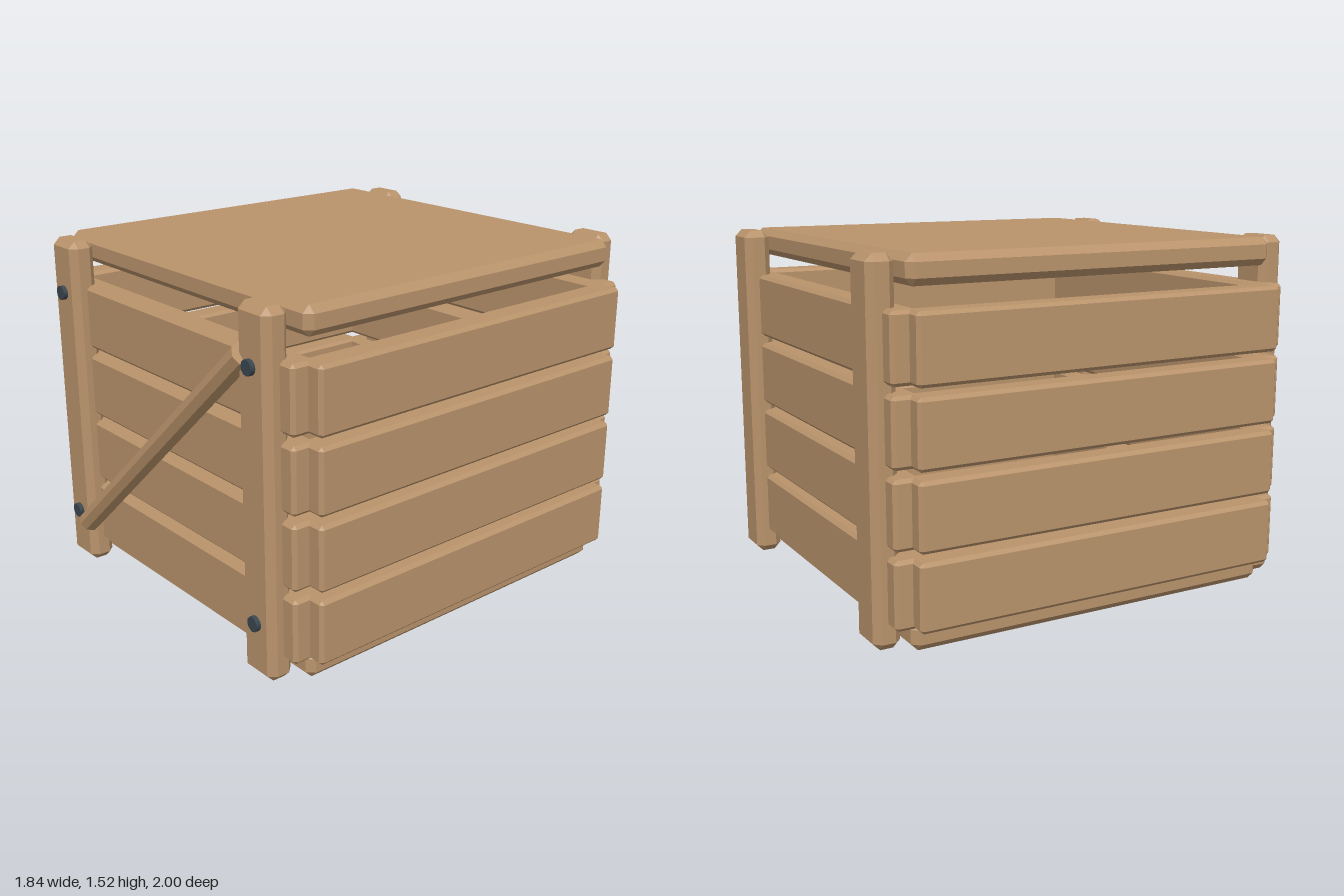
import * as THREE from 'three';
import { ConvexGeometry } from 'three/addons/geometries/ConvexGeometry.js';

const wood = new THREE.MeshStandardMaterial({ color: 0xb9936b });
wood.name = 'wood';
const iron = new THREE.MeshStandardMaterial({ color: 0x3a464e });
iron.name = 'iron';

// Box with every edge cut by a flat chamfer c
function chamferBox(w, h, d, c) {
  const points = [];
  for (const sx of [-1, 1]) for (const sy of [-1, 1]) for (const sz of [-1, 1]) {
    const x = w / 2, y = h / 2, z = d / 2;
    points.push(
      new THREE.Vector3(sx * x, sy * (y - c), sz * (z - c)),
      new THREE.Vector3(sx * (x - c), sy * y, sz * (z - c)),
      new THREE.Vector3(sx * (x - c), sy * (y - c), sz * z));
  }
  return new ConvexGeometry(points);
}

export function createModel() {
  const crate = new THREE.Group();
  crate.name = 'crate';
  const add = (name, geometry, material, x, y, z) => {
    const mesh = new THREE.Mesh(geometry, material);
    mesh.name = name;
    mesh.position.set(x, y, z);
    crate.add(mesh);
    return mesh;
  };
  const midZ = -0.023; // centre of the box body

  // Lid and floor panels
  const panel = chamferBox(1.7, 0.12, 1.7, 0.03);
  add('lid', panel, wood, 0, 1.46, midZ);
  add('floor', panel, wood, 0, 0.06, midZ);

  // Four rows of slats around the walls
  const wallSlat = chamferBox(1.7, 0.28, 0.12, 0.015);
  const sideSlat = chamferBox(0.12, 0.28, 1.7, 0.015);
  for (let row = 0; row < 4; row++) {
    const y = 0.238 + row * 0.314;
    add('frontSlat', wallSlat, wood, 0, y, midZ + 0.863);
    add('backSlat', wallSlat, wood, 0, y, midZ - 0.863);
    add('leftSlat', sideSlat, wood, 0.86, y, midZ);
    add('rightSlat', sideSlat, wood, -0.86, y, midZ);
  }

  // Upright battens and the nails in the front pair
  const post = chamferBox(0.19, 1.52, 0.115, 0.03);
  const nail = new THREE.CylinderGeometry(0.032, 0.032, 0.06, 12).rotateX(Math.PI / 2);
  for (const x of [-0.683, 0.683]) {
    add('frontPost', post, wood, x, 0.76, 0.903);
    add('backPost', post, wood, x, 0.76, -0.942);
    for (const y of [0.24, 1.287]) add('nail', nail, iron, x, y, 0.95);
  }

  // Diagonal eight-sided brace, one ridge facing forward
  const start = new THREE.Vector2(-0.627, 0.196), end = new THREE.Vector2(0.625, 1.32);
  const span = end.clone().sub(start);
  const rod = new THREE.CylinderGeometry(0.05, 0.05, span.length(), 8).toNonIndexed();
  rod.computeVertexNormals();
  const brace = add('brace', rod, wood, (start.x + end.x) / 2, (start.y + end.y) / 2, 0.947);
  brace.rotation.z = span.angle() - Math.PI / 2;

  return crate;
}
